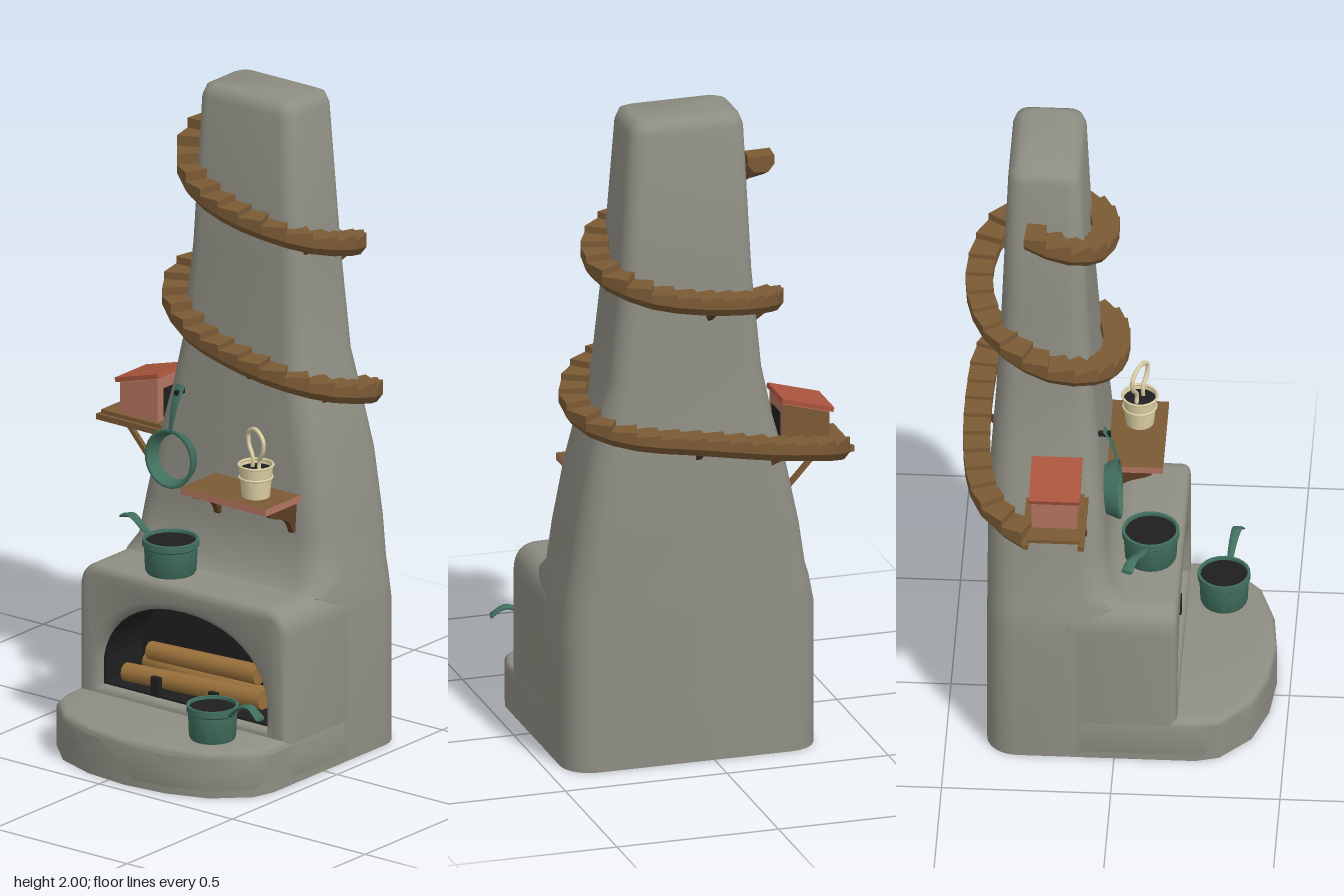
import * as THREE from 'three';
import { mergeGeometries, toCreasedNormals } from 'three/addons/utils/BufferGeometryUtils.js';

const mat = (name, color, side = THREE.FrontSide) =>
  Object.assign(new THREE.MeshStandardMaterial({ color, side }), { name });
const M = {
  stone: mat('stone', 0x8f8e84),
  wood: mat('stair wood', 0x7b5a35),
  darkWood: mat('bracket wood', 0x5a3d24),
  log: mat('log', 0x99703a),
  green: mat('green enamel', 0x41705f, THREE.DoubleSide),
  soot: mat('soot', 0x1f1f1f, THREE.DoubleSide),
  cream: mat('cream', 0xdfd2a6, THREE.DoubleSide),
  clay: mat('clay pink', 0xb37560),
  roof: mat('roof red', 0xa9543d),
};
const V = (x, y, z) => new THREE.Vector3(x, y, z);

function add(parent, name, geometry, material, x = 0, y = 0, z = 0) {
  const m = new THREE.Mesh(geometry, material);
  m.name = name;
  m.position.set(x, y, z);
  parent.add(m);
  return m;
}

// Skin over equal-length rings, capped at both ends
function loft(rings, crease = 0.6) {
  const n = rings[0].length, pos = [], idx = [];
  rings.forEach(r => r.forEach(p => pos.push(p.x, p.y, p.z)));
  for (let i = 0; i < rings.length - 1; i++) for (let k = 0; k < n; k++) {
    const a = i * n + k, b = i * n + (k + 1) % n;
    idx.push(a, b, b + n, a, b + n, a + n);
  }
  const last = (rings.length - 1) * n;
  for (let k = 1; k < n - 1; k++) idx.push(0, k + 1, k, last, last + k, last + k + 1);
  const g = new THREE.BufferGeometry();
  g.setAttribute('position', new THREE.Float32BufferAttribute(pos, 3));
  g.setIndex(idx);
  return toCreasedNormals(g, crease);
}

// Horizontal rounded rectangle
function roundedRing(y, x0, x1, z0, z1, r) {
  const ring = [];
  [[x1 - r, z0 + r], [x0 + r, z0 + r], [x0 + r, z1 - r], [x1 - r, z1 - r]].forEach(([cx, cz], q) => {
    for (let i = 0; i <= 5; i++) {
      const a = (q + i / 5) * Math.PI / 2;
      ring.push(V(cx + r * Math.cos(a), y, cz - r * Math.sin(a)));
    }
  });
  return ring;
}

// Ring of [sideways, up] offsets across a path
function crossRing(curve, t, profile) {
  const p = curve.getPointAt(t), d = curve.getTangentAt(t);
  const l = Math.hypot(d.x, d.z) || 1;
  return profile.map(([s, y]) => V(p.x - d.z / l * s, p.y + y, p.z + d.x / l * s));
}

// Beam between two points
function beam(parent, name, a, b, w, material) {
  const m = add(parent, name, new THREE.BoxGeometry(w, w, a.distanceTo(b)), material);
  m.position.copy(a).add(b).multiplyScalar(0.5);
  m.lookAt(b);
  return m;
}

function handle(parent, name, pts) {
  const curve = new THREE.CatmullRomCurve3(pts), rings = [];
  for (let i = 0; i <= 10; i++) {
    const w = 0.009 + 0.009 * i / 10;
    rings.push(crossRing(curve, i / 10, Array.from({ length: 8 }, (_, k) =>
      [-w * Math.cos(k * Math.PI / 4), 0.007 * Math.sin(k * Math.PI / 4)])));
  }
  add(parent, name, loft(rings, 1), M.green);
}

function pot(name, x, y, z, r, pts) {
  const g = new THREE.Group();
  g.name = name;
  g.position.set(x, y, z);
  const prof = [[0, 0], [0.84, 0], [0.9, 0.01], [0.94, 0.08], [1, 0.085], [1, 0.105], [0.9, 0.105], [0.88, 0.085]];
  const body = new THREE.LatheGeometry(prof.map(([a, b]) => new THREE.Vector2(a * r, b)), 24);
  add(g, 'potBody', toCreasedNormals(body, 0.6), M.green);
  add(g, 'potInside', new THREE.CircleGeometry(r * 0.9, 24).rotateX(-Math.PI / 2), M.soot, 0, 0.096, 0);
  handle(g, 'potHandle', pts);
  return g;
}

function archShape(T, inset) {
  const s = new T(), x0 = -0.25 + inset, x1 = 0.37 - inset, y0 = 0.165 + inset, y1 = 0.455 - inset;
  s.moveTo(x0, y0);
  s.lineTo(x1, y0);
  s.lineTo(x1, 0.25);
  s.bezierCurveTo(x1 - 0.02, 0.37, 0.24, y1, 0.06, y1);
  s.bezierCurveTo(-0.12, y1, x0 + 0.02, 0.37, x0, 0.25);
  s.lineTo(x0, y0);
  return s;
}

export function createModel() {
  const root = new THREE.Group();
  root.name = 'fireplaceTower';

  // Chimney: y, x0, x1, z0, z1, corner radius
  const sections = [
    [0, -0.33, 0.45, -0.38, -0.03, 0.09], [0.45, -0.33, 0.45, -0.38, -0.03, 0.09],
    [0.53, -0.315, 0.438, -0.38, 0.03, 0.09], [0.57, -0.303, 0.43, -0.38, -0.015, 0.09],
    [0.7, -0.283, 0.415, -0.38, -0.03, 0.085], [0.9, -0.24, 0.38, -0.38, -0.045, 0.08],
    [1.05, -0.2, 0.343, -0.37, -0.057, 0.075], [1.2, -0.168, 0.3, -0.36, -0.07, 0.065],
    [1.5, -0.14, 0.27, -0.345, -0.09, 0.055], [1.96, -0.117, 0.236, -0.327, -0.11, 0.045],
    [1.99, -0.106, 0.225, -0.317, -0.12, 0.04], [2, -0.085, 0.205, -0.297, -0.14, 0.03]];
  add(root, 'chimney', loft(sections.map(s => roundedRing(...s)), 1), M.stone);

  // Firebox front with arched opening
  const front = new THREE.Shape();
  front.moveTo(-0.329, 0);
  front.lineTo(0.449, 0);
  front.lineTo(0.449, 0.46);
  front.quadraticCurveTo(0.445, 0.54, 0.37, 0.54);
  front.lineTo(-0.25, 0.54);
  front.quadraticCurveTo(-0.325, 0.54, -0.329, 0.46);
  front.holes.push(archShape(THREE.Path, 0));
  const frontGeo = new THREE.ExtrudeGeometry(front, { depth: 0.29, bevelThickness: 0.025, bevelSize: 0.025, bevelOffset: -0.025, bevelSegments: 3, curveSegments: 10 });
  add(root, 'fireboxFront', toCreasedNormals(frontGeo, 0.7), M.stone, 0, 0, -0.13);
  const liner = archShape(THREE.Shape, 0);
  liner.holes.push(archShape(THREE.Path, 0.006));
  add(root, 'fireboxLiner', new THREE.ExtrudeGeometry(liner, { depth: 0.18, bevelEnabled: false }), M.soot, 0, 0, -0.02);
  add(root, 'fireboxBack', new THREE.ShapeGeometry(archShape(THREE.Shape, 0)), M.soot, 0, 0, -0.015);

  // Hearth slab, drawn with z as -y and laid flat
  const half = [[0.39, -0.1], [0.39, 0.24], [0.37, 0.31], [0.275, 0.4], [0.145, 0.445]];
  const outline = [...half.map(([x, z]) => [0.06 + x, z]), [0.06, 0.46], ...half.map(([x, z]) => [0.06 - x, z]).reverse()];
  const slab = new THREE.Shape(outline.map(([x, z]) => new THREE.Vector2(x, -z)));
  const slabGeo = new THREE.ExtrudeGeometry(slab, { depth: 0.14, bevelEnabled: false });
  const bevelGeo = new THREE.ExtrudeGeometry(slab, { depth: 0.1, bevelThickness: 0.02, bevelSize: 0.02, bevelOffset: -0.02, bevelSegments: 3 });
  slabGeo.scale(1, 1, 0.12 / 0.14).rotateX(-Math.PI / 2);
  add(root, 'hearthBase', toCreasedNormals(slabGeo, 0.7), M.stone);
  add(root, 'hearthTop', toCreasedNormals(bevelGeo.rotateX(-Math.PI / 2), 0.7), M.stone, 0, 0.022, 0);

  // Logs and andirons
  for (const [y, z, x, len, tilt] of [[0.215, 0.12, 0.06, 0.5, 0.05], [0.215, 0.05, 0.06, 0.48, -0.04], [0.28, 0.085, 0.07, 0.4, 0.03]]) {
    const log = add(root, 'log', new THREE.CylinderGeometry(0.028, 0.031, len, 10), M.log, x, y, z);
    log.rotation.set(0, tilt, Math.PI / 2 + tilt * 0.6);
  }
  for (const x of [-0.05, 0.165]) {
    add(root, 'andironPost', new THREE.BoxGeometry(0.03, 0.06, 0.015), M.soot, x, 0.2, 0.165);
    add(root, 'andironBar', new THREE.BoxGeometry(0.02, 0.015, 0.16), M.soot, x, 0.18, 0.085);
  }

  // Spiral stair
  const path = new THREE.CatmullRomCurve3([
    [-0.42, 0.89, -0.25], [-0.38, 0.92, -0.33], [-0.3, 0.95, -0.385], [-0.15, 0.98, -0.415], [0.06, 1.02, -0.42],
    [0.25, 1.05, -0.4], [0.36, 1.08, -0.33], [0.39, 1.11, -0.24], [0.35, 1.14, -0.13], [0.25, 1.18, -0.045],
    [0.1, 1.22, -0.015], [-0.07, 1.265, -0.03], [-0.18, 1.32, -0.09], [-0.222, 1.36, -0.19], [-0.19, 1.4, -0.3],
    [-0.1, 1.43, -0.38], [0.05, 1.46, -0.42], [0.2, 1.49, -0.4], [0.3, 1.53, -0.33], [0.322, 1.56, -0.23],
    [0.28, 1.59, -0.13], [0.17, 1.63, -0.06], [0.05, 1.66, -0.045], [-0.08, 1.7, -0.07], [-0.16, 1.75, -0.13],
    [-0.185, 1.79, -0.2], [-0.18, 1.825, -0.27]].map(p => V(...p)));
  const steps = [], N = 50;
  for (let i = 0; i < N; i++) {
    const t0 = i / N, t1 = (i + 1) / N;
    const y0 = path.getPointAt(t0).y, y1 = path.getPointAt(t1).y;
    const ring = (t, top) => crossRing(path, t, [[0.022, -0.036], [-0.022, -0.036], [-0.04, -0.012], [-0.04, top], [0.04, top], [0.04, -0.012]]);
    steps.push(loft([ring(t0, y1 - y0 + 0.014), ring(t1, 0.014)], 0.3));
  }
  add(root, 'spiralStair', mergeGeometries(steps), M.wood);
  for (let i = 2; i < 25; i += 2) {
    const p = path.getPointAt(i / 25);
    const q = V(p.x + (0.065 - p.x) * 0.2, p.y - 0.065, p.z + (-0.21 - p.z) * 0.24);
    beam(root, 'stairBracket', p.setY(p.y - 0.02), q, 0.016, M.darkWood);
  }

  // Birdhouse on its bracket platform
  for (const z of [-0.255, -0.09]) {
    add(root, 'platformRail', new THREE.BoxGeometry(0.28, 0.018, 0.018), M.wood, -0.33, 0.885, z);
    beam(root, 'platformBrace', V(-0.35, 0.88, z), V(-0.25, 0.77, z), 0.014, M.wood);
  }
  add(root, 'platformDeck', new THREE.BoxGeometry(0.25, 0.012, 0.16), M.wood, -0.335, 0.9, -0.172);
  const side = new THREE.Shape([[-0.4, 0.905], [-0.258, 0.905], [-0.258, 1.04], [-0.4, 1]].map(p => new THREE.Vector2(...p)));
  add(root, 'birdhouse', new THREE.ExtrudeGeometry(side, { depth: 0.134, bevelEnabled: false }), M.clay, 0, 0, -0.239);
  add(root, 'birdhouseBackBoard', new THREE.ShapeGeometry(side).scale(-1, 1, 1).rotateY(Math.PI), M.wood, 0, 0, -0.2405)
    .geometry.index.array.reverse();
  add(root, 'birdhouseDoor', new THREE.BoxGeometry(0.004, 0.09, 0.08), M.soot, -0.257, 0.96, -0.172);
  add(root, 'birdhouseRoof', new THREE.BoxGeometry(0.166, 0.014, 0.15), M.roof, -0.332, 1.03, -0.172).rotation.z = 0.275;

  // Shelf with curved brackets
  add(root, 'shelf', new THREE.BoxGeometry(0.32, 0.022, 0.185), [M.clay, M.clay, M.wood, M.wood, M.clay, M.clay], 0.17, 0.815, 0.0325);
  const br = new THREE.Shape();
  br.moveTo(-0.06, 0.805);
  br.lineTo(0.1, 0.805);
  br.bezierCurveTo(0.09, 0.76, 0.0, 0.79, -0.02, 0.71);
  br.lineTo(-0.06, 0.71);
  const brGeo = new THREE.ExtrudeGeometry(br, { depth: 0.018, bevelEnabled: false }).rotateY(-Math.PI / 2);
  for (const x of [0.04, 0.318]) add(root, 'shelfBracket', brGeo, M.darkWood, x, 0, 0);

  // Bucket with a looped tool inside
  const bucket = new THREE.Group();
  bucket.name = 'bucket';
  bucket.position.set(0.23, 0.826, 0.045);
  bucket.rotation.y = -0.42;
  root.add(bucket);
  add(bucket, 'bucketWall', new THREE.CylinderGeometry(0.052, 0.042, 0.1, 18, 1, true), M.cream, 0, 0.05, 0);
  for (const [y, r] of [[0.06, 0.049], [0.098, 0.052]])
    add(bucket, 'bucketBand', new THREE.TorusGeometry(r, 0.004, 6, 18).rotateX(Math.PI / 2), M.cream, 0, y, 0);
  add(bucket, 'bucketInside', new THREE.CircleGeometry(0.048, 18).rotateX(-Math.PI / 2), M.soot, 0, 0.085, 0);
  const loop = [[0.022, 0.08], [0.02, 0.115], [0.045, 0.15], [0.046, 0.185], [0, 0.206], [-0.046, 0.185], [-0.045, 0.15], [-0.02, 0.115], [-0.022, 0.08]];
  const loopCurve = new THREE.CatmullRomCurve3(loop.map(([x, y]) => V(x, y, 0)));
  add(bucket, 'loopHandle', new THREE.TubeGeometry(loopCurve, 32, 0.007, 6), M.cream);

  // Open pan ring hung on the wall
  const ringProfile = [[0.074, 0], [0.09, 0.036], [0.09, 0.042], [0.08, 0.042], [0.068, 0.004], [0.074, 0]];
  const pan = add(root, 'hangingPan', new THREE.LatheGeometry(ringProfile.map(p => new THREE.Vector2(...p)), 28), M.green, -0.128, 0.848, -0.035);
  pan.rotation.x = Math.PI / 2 - 0.08;
  handle(root, 'hangingPanHandle', [V(-0.128, 0.935, 0), V(-0.126, 0.98, -0.008), V(-0.124, 1.03, -0.022), V(-0.123, 1.068, -0.042)]);
  add(root, 'panHook', new THREE.BoxGeometry(0.012, 0.014, 0.05), M.soot, -0.123, 1.05, -0.045);

  // Cooking pots
  root.add(pot('mantelPot', -0.052, 0.54, 0.093, 0.085,
    [V(-0.08, 0.088, -0.01), V(-0.13, 0.105, -0.028), V(-0.18, 0.124, -0.045), V(-0.222, 0.112, -0.058)]));
  root.add(pot('hearthPot', 0.262, 0.145, 0.292, 0.078,
    [V(0.074, 0.088, 0.012), V(0.12, 0.125, 0.02), V(0.165, 0.138, 0.028), V(0.206, 0.112, 0.034)]));

  return root;
}
